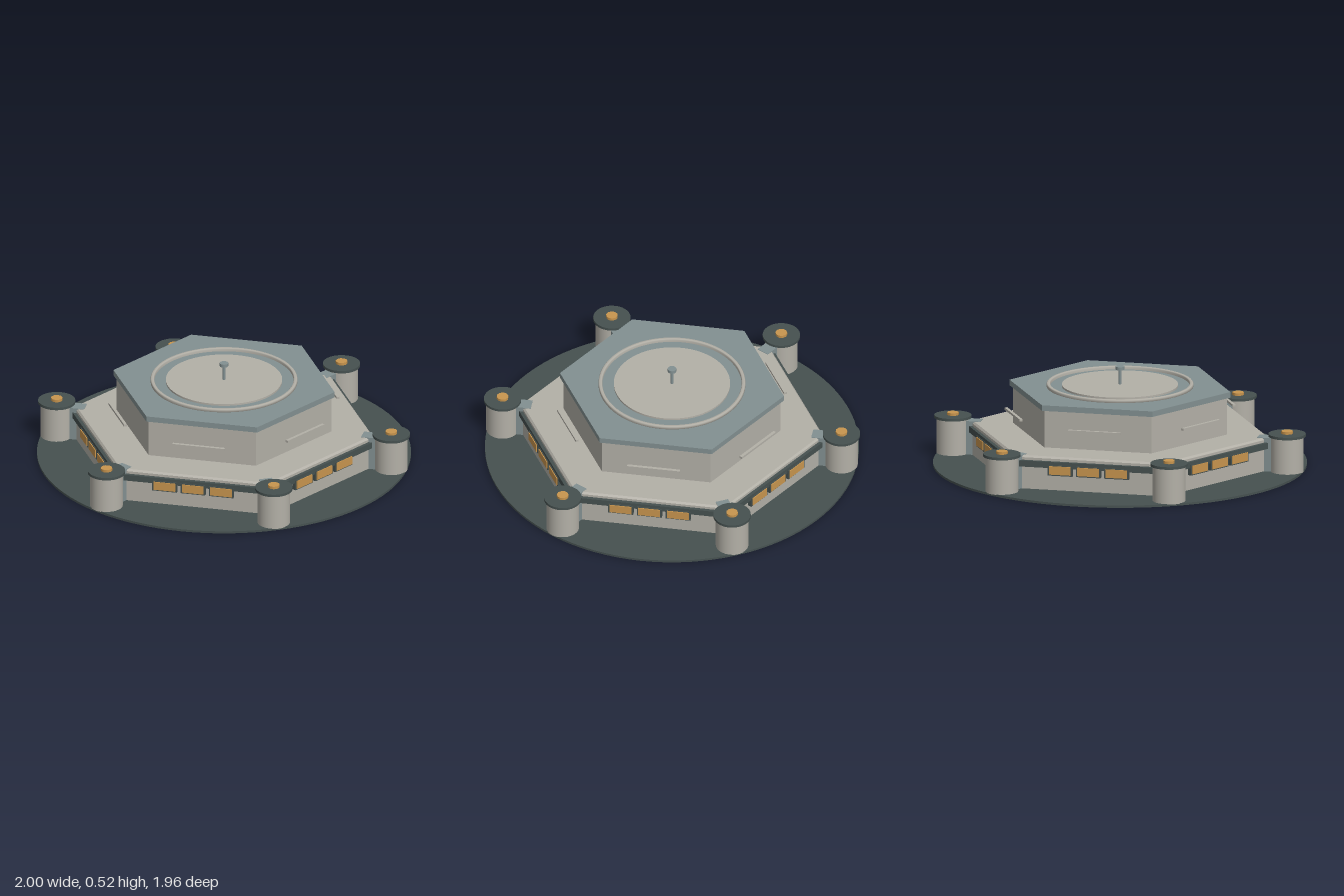
import * as THREE from 'three';

const mat = (name, color) => {
  const m = new THREE.MeshStandardMaterial({ color });
  m.name = name;
  return m;
};

export function createModel() {
  const concrete = mat('concrete', 0xb3b0a7);
  const slate = mat('slate', 0x829091);
  const dark = mat('dark metal', 0x465150);
  const amber = mat('amber', 0xc8954e);
  const model = new THREE.Group();
  model.name = 'hexagonalStation';

  const add = (parent, name, geometry, material, x = 0, y = 0, z = 0) => {
    const mesh = new THREE.Mesh(geometry, material);
    mesh.name = name;
    mesh.position.set(x, y, z);
    parent.add(mesh);
    return mesh;
  };
  const box = (parent, name, w, h, d, material, x, y, z) =>
    add(parent, name, new THREE.BoxGeometry(w, h, d), material, x, y, z);
  // upright cylinder from y0 to y1
  const disc = (parent, name, r, y0, y1, material, x = 0, z = 0, sides = 48) =>
    add(parent, name, new THREE.CylinderGeometry(r, r, y1 - y0, sides), material, x, (y0 + y1) / 2, z);
  // hexagonal prism with corners on the x axis and crisp edges
  const hex = (name, rTop, rBottom, y0, y1, material) => {
    const g = new THREE.CylinderGeometry(rTop, rBottom, y1 - y0, 6, 1, false, Math.PI / 6).toNonIndexed();
    g.computeVertexNormals();
    return add(model, name, g, material, 0, (y0 + y1) / 2, 0);
  };

  // ground plate and stacked hexagonal storeys
  disc(model, 'basePlate', 0.98, 0, 0.012, dark, 0, 0, 96);
  hex('lowerStorey', 0.805, 0.805, 0.01, 0.18, concrete);
  hex('lowerRoofBevel', 0.795, 0.805, 0.18, 0.19, concrete);
  hex('upperStorey', 0.577, 0.577, 0.185, 0.39, concrete);
  hex('upperRoof', 0.595, 0.595, 0.39, 0.42, slate);

  // landing pad, its raised ring and the mast
  disc(model, 'padDisc', 0.305, 0.415, 0.43, concrete, 0, 0, 64);
  const ringProfile = [[0.365, 0.415], [0.385, 0.415], [0.385, 0.432], [0.381, 0.437], [0.369, 0.437], [0.365, 0.432], [0.365, 0.415]];
  const ring = new THREE.LatheGeometry(ringProfile.map(([x, y]) => new THREE.Vector2(x, y)), 64);
  add(model, 'padRing', ring, concrete);
  disc(model, 'mast', 0.008, 0.43, 0.51, slate, 0, 0, 12);
  disc(model, 'mastHead', 0.023, 0.508, 0.525, slate, 0, 0, 16);

  for (let i = 0; i < 6; i++) {
    // one wall: dark band, three framed windows and the rail above the roof
    const side = new THREE.Group();
    side.name = 'wallSide';
    side.rotation.y = i * Math.PI / 3;
    model.add(side);
    box(side, 'wallBand', 0.8, 0.033, 0.03, dark, 0, 0.15, 0.7);
    box(side, 'roofRail', 0.28, 0.012, 0.016, concrete, 0, 0.306, 0.582);
    for (const x of [-0.152, 0, 0.152]) {
      box(side, 'windowFrame', 0.132, 0.056, 0.03, dark, x, 0.122, 0.704);
      box(side, 'windowPane', 0.116, 0.045, 0.006, amber, x, 0.123, 0.721);
    }

    // one corner: round tower joined to the lower storey
    const corner = new THREE.Group();
    corner.name = 'cornerTower';
    corner.rotation.y = i * Math.PI / 3;
    model.add(corner);
    box(corner, 'towerLink', 0.11, 0.182, 0.07, slate, 0.8, 0.101, 0);
    disc(corner, 'towerBody', 0.086, 0.01, 0.202, concrete, 0.9, 0, 32);
    disc(corner, 'towerCap', 0.098, 0.2, 0.214, dark, 0.9, 0, 32);
    disc(corner, 'towerBeacon', 0.031, 0.213, 0.228, amber, 0.9, 0, 10);
  }
  return model;
}
